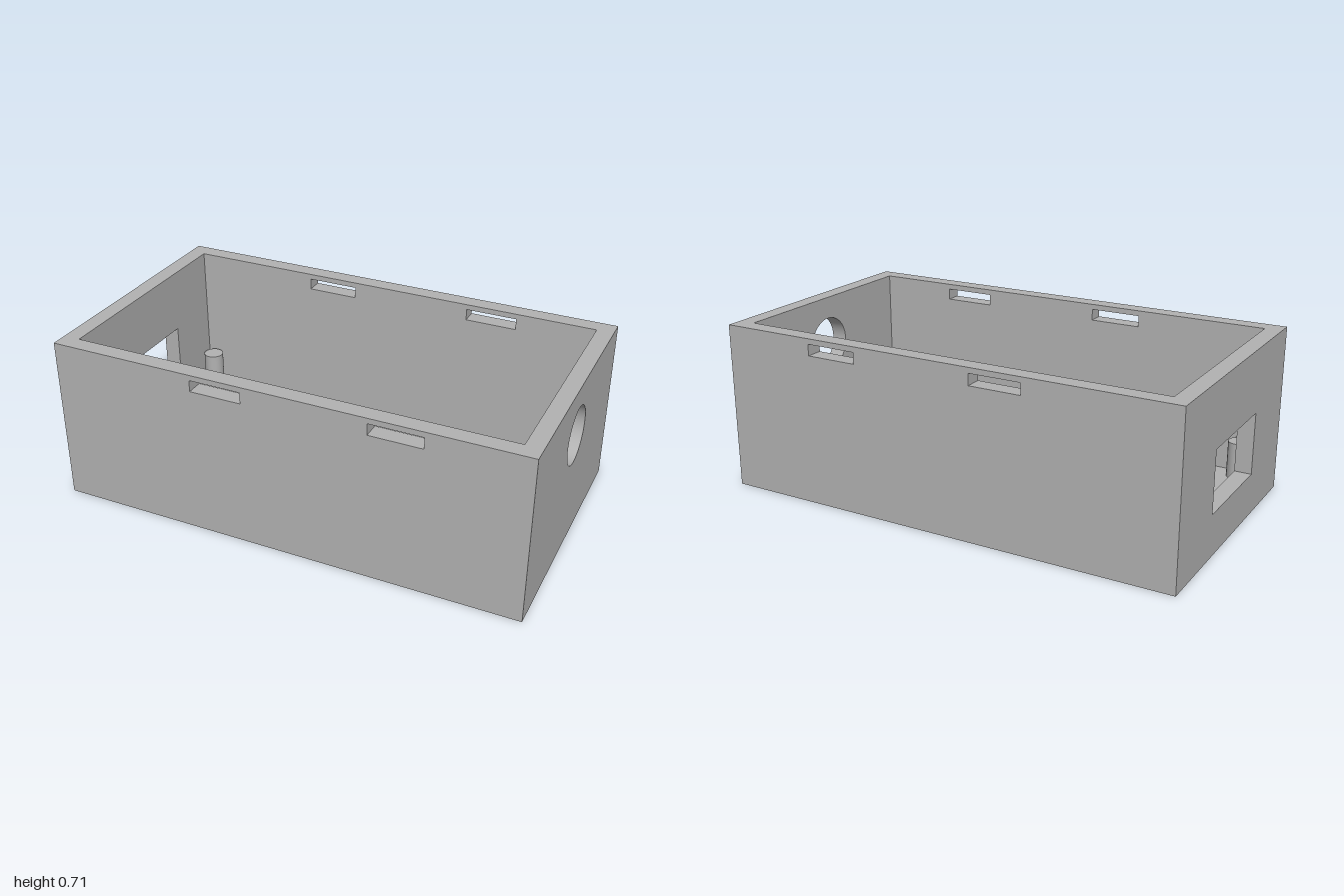
import * as THREE from 'three';
import { toCreasedNormals } from 'three/addons/utils/BufferGeometryUtils.js';

const W = 2, D = 1.11, H = 0.71, T = 0.071; // outer size and wall thickness

function rectPath(path, x0, y0, x1, y1) {
  path.moveTo(x0, y0);
  path.lineTo(x1, y0);
  path.lineTo(x1, y1);
  path.lineTo(x0, y1);
  path.closePath();
  return path;
}

// Upright panel of a given width with holes, its thickness starting at z = 0
function panel(width, holes) {
  const shape = rectPath(new THREE.Shape(), -width / 2, 0, width / 2, H);
  shape.holes.push(...holes);
  const geo = new THREE.ExtrudeGeometry(shape, { depth: T, bevelEnabled: false, curveSegments: 32 });
  return toCreasedNormals(geo, Math.PI / 6);
}

export function createModel() {
  const group = new THREE.Group();
  group.name = 'enclosure';
  const grey = new THREE.MeshStandardMaterial({ color: 0xb2b2b2 });
  grey.name = 'grey plastic';

  function add(name, geo, x, y, z) {
    const mesh = new THREE.Mesh(geo, grey);
    mesh.name = name;
    mesh.position.set(x, y, z);
    group.add(mesh);
  }

  // Front and back walls, each with two latch slots near the rim
  const slots = () => [-0.263, 0.479].map((x) =>
    rectPath(new THREE.Path(), x - 0.11, 0.639, x + 0.11, 0.687));
  add('frontWall', panel(W, slots()), 0, 0, D / 2 - T);
  add('backWall', panel(W, slots()), 0, 0, -D / 2);

  // Left wall with a round cable hole
  const inner = D - 2 * T;
  const round = new THREE.Path();
  round.absarc(0, 0.494, 0.121, 0, Math.PI * 2, true);
  add('leftWall', panel(inner, [round]).rotateY(Math.PI / 2), W / 2 - T, 0, 0);

  // Right wall with a rectangular socket opening
  const socket = rectPath(new THREE.Path(), -0.22, 0.18, 0.22, 0.44);
  add('rightWall', panel(inner, [socket]).rotateY(Math.PI / 2), -W / 2, 0, 0);

  // Floor
  add('floor', new THREE.BoxGeometry(W - 2 * T, T, inner), 0, T / 2, 0);

  // Corner mounting posts
  const postHeight = 0.157;
  for (const x of [-0.873, 0.873]) {
    for (const z of [-0.427, 0.427]) {
      add('mountingPost', new THREE.CylinderGeometry(0.044, 0.044, postHeight, 32), x, T + postHeight / 2, z);
    }
  }
  return group;
}
